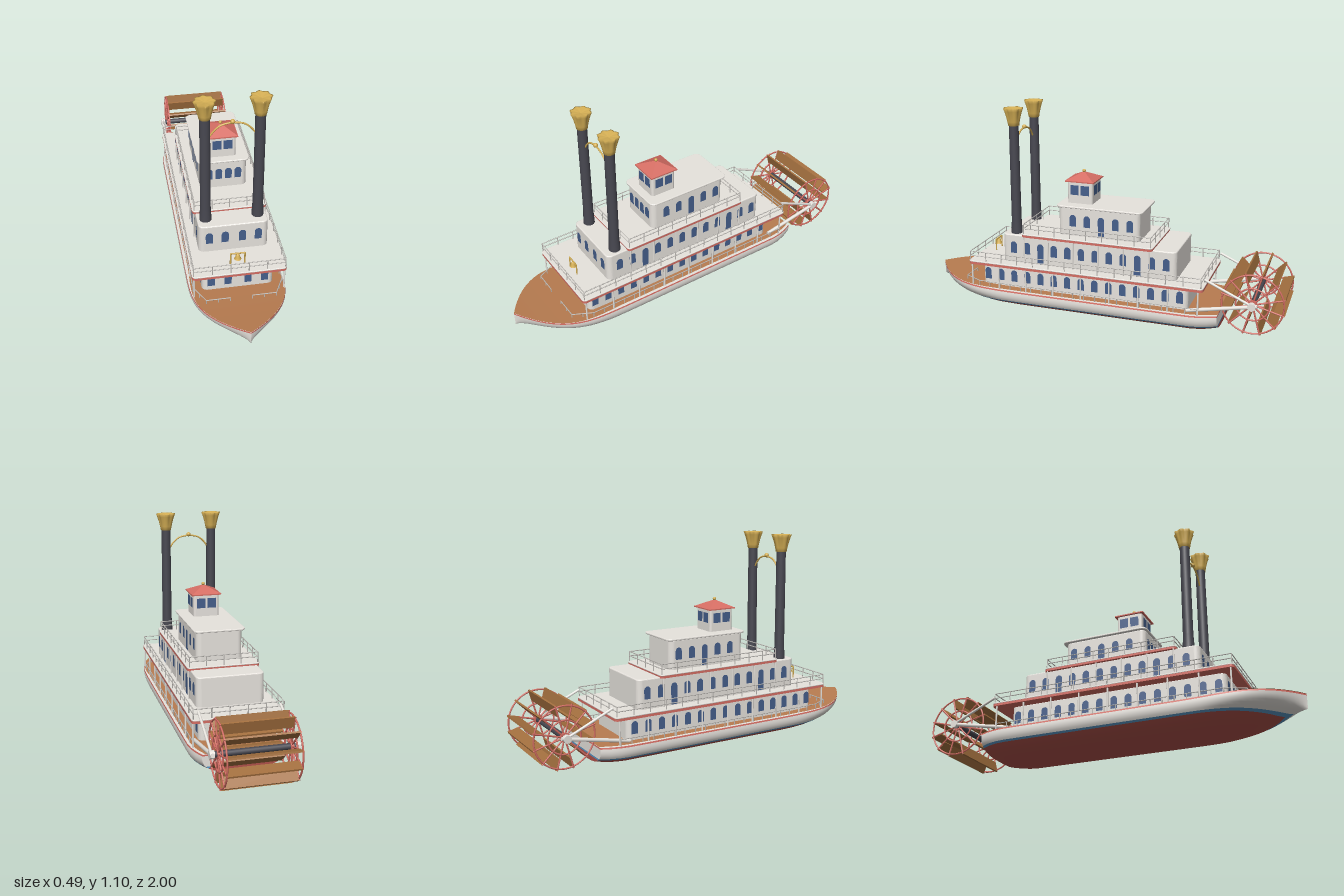
import * as THREE from 'three';

const mat = (name, color, side = THREE.FrontSide) => {
  const m = new THREE.MeshStandardMaterial({ color, side });
  m.name = name;
  return m;
};

export function createModel() {
  const white = mat('white paint', 0xf0ece6, THREE.DoubleSide);
  const red = mat('red trim', 0xd66e64, THREE.DoubleSide);
  const hullRed = mat('hull red', 0xb0524a, THREE.DoubleSide);
  const blue = mat('waterline blue', 0x5a98c6, THREE.DoubleSide);
  const glass = mat('window blue', 0x455f8c);
  const black = mat('chimney black', 0x484851);
  const gold = mat('brass', 0xd6b055, THREE.DoubleSide);
  const wood = mat('deck wood', 0xb87c50, THREE.DoubleSide);
  const darkWood = mat('paddle wood', 0xa4703f);
  const steel = mat('railing grey', 0xc4c1bc);

  const root = new THREE.Group();
  root.name = 'paddleSteamer';
  const group = (name) => {
    const g = new THREE.Group();
    g.name = name;
    root.add(g);
    return g;
  };
  const add = (parent, name, geo, m, x = 0, y = 0, z = 0) => {
    const mesh = new THREE.Mesh(geo, m);
    mesh.name = name;
    mesh.position.set(x, y, z);
    parent.add(mesh);
    return mesh;
  };
  // Round bar between two points
  const bar = (parent, name, m, a, b, r, sides = 6) => {
    const p = new THREE.Vector3(...a), d = new THREE.Vector3(...b).sub(p);
    const mesh = add(parent, name, new THREE.CylinderGeometry(r, r, d.length(), sides), m);
    mesh.position.copy(p).addScaledVector(d, 0.5);
    mesh.quaternion.setFromUnitVectors(new THREE.Vector3(0, 1, 0), d.normalize());
  };
  // Surface through a grid of points
  const grid = (nu, nv, fn, flip) => {
    const pos = [], idx = [];
    for (let i = 0; i <= nu; i++) for (let j = 0; j <= nv; j++) pos.push(...fn(i, j));
    for (let i = 0; i < nu; i++) for (let j = 0; j < nv; j++) {
      const a = i * (nv + 1) + j, b = a + nv + 1;
      if (flip) idx.push(a, a + 1, b, b, a + 1, b + 1);
      else idx.push(a, b, a + 1, b, b + 1, a + 1);
    }
    const g = new THREE.BufferGeometry();
    g.setAttribute('position', new THREE.Float32BufferAttribute(pos, 3));
    g.setIndex(idx);
    g.computeVertexNormals();
    return g;
  };

  // Hull lines: half width, keel height and sheer along z
  const clamp = THREE.MathUtils.clamp;
  const halfWidth = (z) => 0.247 * (1 - clamp((z - 0.55) / 0.45, 0, 1) ** 3)
    - 0.04 * clamp((-0.5 - z) / 0.16, 0, 1) ** 2;
  const keel = (z) => 0.07 * clamp((z - 0.4) / 0.6, 0, 1) ** 2.2 + 0.015 * clamp((-0.52 - z) / 0.14, 0, 1) ** 2;
  const sheer = (z) => 0.114 + 0.031 * clamp((z - 0.4) / 0.6, 0, 1) ** 2;
  const hullX = (z, y) => {
    const t = clamp((y - keel(z)) / (sheer(z) - keel(z)), 0, 1);
    const n = 3 - 1.5 * clamp((z - 0.55) / 0.45, 0, 1);
    return halfWidth(z) * (1 - (1 - t) ** n) ** (1 / n) * (1 - 0.02 * t ** 6);
  };
  // The first station closes the transom
  const stations = [[-0.66, 0], [-0.66, 1]];
  for (let i = 0; i <= 48; i++) stations.push([-0.66 + 1.66 * (1 - (1 - i / 48) ** 1.4), 1]);
  const last = stations.length - 1;
  const hull = group('hull');
  const band = (name, m, low, high, rows, power) => {
    for (const s of [1, -1]) {
      add(hull, name, grid(last, rows, (i, j) => {
        const [z, k] = stations[i];
        const a = Math.max(low(z), keel(z)), b = Math.max(high(z), keel(z));
        const y = a + (b - a) * (j / rows) ** power;
        return [s * k * hullX(z, y), y, z];
      }, s > 0), m);
    }
  };
  const stripe = (z) => sheer(z) - 0.008;
  band('hullBottom', hullRed, keel, () => 0.042, 10, 3);
  band('waterline', blue, () => 0.042, () => 0.051, 1, 1);
  band('hullSide', white, () => 0.051, stripe, 6, 1);
  band('gunwaleStripe', red, stripe, sheer, 1, 1);
  const deck = (name, m, lift, inset) => add(hull, name, grid(last, 2, (i, j) => {
    const z = stations[i][0];
    const margin = inset * (1 - clamp((z - 0.5) / 0.25, 0, 1));
    return [(j - 1) * Math.max(hullX(z, sheer(z)) - margin, 0), sheer(z) + lift, z];
  }), m);
  deck('deckRim', white, 0, 0);
  deck('mainDeck', wood, 0.002, 0.014);

  // Rounded-corner block seen from above, with softened edges
  const block = (parent, name, m, hx, z0, z1, y0, y1, r, b) => {
    const s = new THREE.Shape();
    const c = [[hx - r, -z0 - r, 0], [r - hx, -z0 - r, 1], [r - hx, r - z1, 2], [hx - r, r - z1, 3]];
    for (const [x, y, q] of c) s.absarc(x, y, r, q * Math.PI / 2, (q + 1) * Math.PI / 2, false);
    s.closePath();
    const g = new THREE.ExtrudeGeometry(s, {
      depth: y1 - y0 - 2 * b, curveSegments: 5, bevelEnabled: b > 0,
      bevelSize: b, bevelThickness: b, bevelOffset: -b, bevelSegments: 3,
    });
    g.rotateX(-Math.PI / 2);
    add(parent, name, g, m, 0, y0 + b, 0);
  };
  // Flat pane with an optional arched top
  const pane = (w, h, arched = true) => {
    const s = new THREE.Shape();
    s.moveTo(-w / 2, 0);
    s.lineTo(w / 2, 0);
    if (arched) s.absarc(0, h - w / 2, w / 2, 0, Math.PI, false);
    else s.lineTo(w / 2, h).lineTo(-w / 2, h);
    s.closePath();
    return new THREE.ShapeGeometry(s, 6);
  };
  const sideWindow = (parent, hx, y, z, geo) => {
    for (const s of [1, -1]) add(parent, 'sideWindow', geo, glass, s * (hx + 0.003), y, z).rotation.y = s * Math.PI / 2;
  };

  // Three cabins with arched windows; tall entries are doors
  const cabins = [
    { name: 'lowerCabin', hx: 0.18, z: [-0.5, 0.66], y: [0.108, 0.247], sill: 0.148, h: 0.066, first: 0.625, step: 0.0775, n: 15, doors: [], fx: [0.05, 0.135] },
    { name: 'middleCabin', hx: 0.176, z: [-0.435, 0.535], y: [0.255, 0.418], sill: 0.315, h: 0.066, first: 0.468, step: 0.0775, n: 12, doors: [2, 9], fx: [0.044, 0.124] },
    { name: 'upperCabin', hx: 0.122, z: [-0.22, 0.23], y: [0.425, 0.587], sill: 0.483, h: 0.064, first: 0.145, step: 0.079, n: 5, doors: [2], fx: [0.025, 0.075] },
  ];
  for (const c of cabins) {
    const g = group(c.name);
    block(g, c.name + 'Walls', white, c.hx, c.z[0], c.z[1], c.y[0], c.y[1], 0.028, 0.006);
    const win = pane(0.036, c.h), door = pane(0.036, c.h + c.sill - c.y[0] - 0.012);
    for (let i = 0; i < c.n; i++) {
      const isDoor = c.doors.includes(i);
      sideWindow(g, c.hx, isDoor ? c.y[0] + 0.012 : c.sill, c.first - i * c.step, isDoor ? door : win);
    }
    for (const x of c.fx) for (const s of [1, -1]) add(g, 'frontWindow', win, glass, s * x, c.sill, c.z[1] + 0.003);
  }

  // Deck slabs over red fascia, and the upper roof
  const decks = group('decks');
  block(decks, 'middleDeckTrim', red, 0.236, -0.589, 0.717, 0.243, 0.256, 0.02, 0);
  block(decks, 'middleDeck', white, 0.237, -0.59, 0.718, 0.255, 0.263, 0.02, 0.003);
  block(decks, 'upperDeckTrim', red, 0.19, -0.311, 0.419, 0.413, 0.425, 0.02, 0);
  block(decks, 'upperDeck', white, 0.191, -0.312, 0.42, 0.424, 0.431, 0.02, 0.003);
  block(decks, 'upperRoof', white, 0.136, -0.238, 0.24, 0.585, 0.596, 0.03, 0.004);

  // Railings along a path of [x, z] points
  const railing = (name, path, y0, heights, spacing) => {
    const g = group(name);
    for (let k = 0; k < path.length - 1; k++) {
      const [x0, z0] = path[k], [x1, z1] = path[k + 1];
      const n = Math.max(1, Math.round(Math.hypot(x1 - x0, z1 - z0) / spacing));
      for (const h of heights) bar(g, 'rail', steel, [x0, y0 + h, z0], [x1, y0 + h, z1], 0.0026);
      for (let i = 0; i <= n; i++) {
        const x = x0 + (x1 - x0) * i / n, z = z0 + (z1 - z0) * i / n;
        bar(g, 'railPost', steel, [x, y0, z], [x, y0 + heights[0], z], 0.0028);
      }
    }
  };
  const loop = (x, z0, z1) => [[x, z0], [x, z1], [-x, z1], [-x, z0], [x, z0]];
  railing('middleRailing', loop(0.228, -0.578, 0.708), 0.26, [0.054, 0.03], 0.09);
  railing('upperRailing', loop(0.18, -0.3, 0.408), 0.43, [0.054, 0.03], 0.09);
  for (const s of [1, -1]) {
    railing('mainRailing', [[s * 0.055, 0.76], [s * 0.175, 0.76], [s * 0.226, 0.66], [s * 0.228, -0.56]], 0.11, [0.037], 0.06);
  }
  const columns = group('columns');
  for (const s of [1, -1]) {
    for (let i = 0; i < 9; i++) bar(columns, 'lowerColumn', white, [s * 0.226, 0.11, 0.7 - i * 0.158], [s * 0.226, 0.245, 0.7 - i * 0.158], 0.0045, 8);
    for (let i = 0; i < 6; i++) bar(columns, 'middleColumn', white, [s * 0.184, 0.26, 0.405 - i * 0.14], [s * 0.184, 0.415, 0.405 - i * 0.14], 0.004, 8);
  }

  // Pilot house
  const pilot = group('pilotHouse');
  block(pilot, 'pilotWalls', white, 0.07, 0.055, 0.195, 0.594, 0.716, 0.012, 0);
  const square = pane(0.046, 0.053, false);
  for (const s of [1, -1]) {
    add(pilot, 'pilotFrontWindow', square, glass, s * 0.029, 0.642, 0.198);
    add(pilot, 'pilotBackWindow', square, glass, s * 0.029, 0.642, 0.052).rotation.y = Math.PI;
    sideWindow(pilot, 0.07, 0.642, 0.125 + s * 0.029, square);
  }
  const roof = new THREE.ConeGeometry(0.08 * Math.SQRT2, 0.04, 4).rotateY(Math.PI / 4).toNonIndexed();
  roof.computeVertexNormals();
  add(pilot, 'pilotRoof', roof, red, 0, 0.737, 0.125);
  add(pilot, 'roofEave', new THREE.BoxGeometry(0.16, 0.006, 0.16), red, 0, 0.715, 0.125);
  add(pilot, 'roofFinial', new THREE.SphereGeometry(0.009, 12, 8), gold, 0, 0.761, 0.125);

  // Chimneys with fluted brass crowns
  const lathe = (pts, n = 24) => new THREE.LatheGeometry(pts.map((p) => new THREE.Vector2(...p)), n);
  const crown = lathe([[0.02, 1.01], [0.029, 1.008], [0.033, 1.03], [0.038, 1.055], [0.046, 1.085], [0.051, 1.1], [0.045, 1.099], [0, 1.092]], 48);
  const cp = crown.attributes.position;
  for (let i = 0; i < cp.count; i++) {
    const x = cp.getX(i), z = cp.getZ(i), grow = clamp((cp.getY(i) - 1.01) / 0.09, 0, 1);
    const k = 1 + 0.09 * grow * Math.cos(8 * Math.atan2(x, z));
    cp.setX(i, x * k);
    cp.setZ(i, z * k);
  }
  crown.computeVertexNormals();
  const chimneys = group('chimneys');
  for (const s of [1, -1]) {
    const x = s * 0.132;
    add(chimneys, 'chimneyPipe', lathe([[0.03, 0.415], [0.03, 0.43], [0.0265, 0.5], [0.0255, 1.015]]), black, x, 0, 0.468);
    add(chimneys, 'chimneyCrown', crown, gold, x, 0, 0.468);
  }
  const brace = [[-0.108, 0.908], [-0.088, 0.935], [-0.055, 0.961], [0, 0.971], [0.055, 0.961], [0.088, 0.935], [0.108, 0.908]];
  add(chimneys, 'chimneyBrace', new THREE.TubeGeometry(new THREE.CatmullRomCurve3(
    brace.map(([x, y]) => new THREE.Vector3(x, y, 0.468))), 32, 0.0045, 8), gold);
  add(chimneys, 'braceBall', new THREE.SphereGeometry(0.012, 14, 10), gold, 0, 0.977, 0.468);

  // Bell in its frame
  const bell = group('bell');
  add(bell, 'bellBody', lathe([[0.018, 0.292], [0.013, 0.3], [0.01, 0.314], [0.005, 0.321], [0, 0.322]], 16), gold, 0, 0, 0.645);
  for (const s of [1, -1]) bar(bell, 'bellPost', gold, [s * 0.036, 0.26, 0.645], [s * 0.036, 0.327, 0.645], 0.004);
  bar(bell, 'bellBeam', gold, [-0.036, 0.326, 0.645], [0.036, 0.326, 0.645], 0.004);

  // Stern paddle wheel
  const wheel = group('paddleWheel');
  wheel.position.set(0, 0.19, -0.832);
  bar(wheel, 'axle', black, [-0.21, 0, 0], [0.21, 0, 0], 0.015, 16);
  for (const s of [1, -1]) {
    for (const r of [0.157, 0.085]) add(wheel, 'wheelRim', new THREE.TorusGeometry(r, 0.0045, 6, 48), red, s * 0.175).rotation.y = Math.PI / 2;
    bar(wheel, 'wheelHub', red, [s * 0.168, 0, 0], [s * 0.182, 0, 0], 0.024, 20);
  }
  for (let i = 0; i < 12; i++) {
    const arm = new THREE.Group();
    arm.name = 'paddleArm';
    arm.rotation.x = (i + 0.5) * Math.PI / 6;
    wheel.add(arm);
    for (const s of [1, -1]) bar(arm, 'spoke', red, [s * 0.175, 0.015, 0], [s * 0.175, 0.166, 0], 0.0045);
    add(arm, 'paddleBoard', new THREE.BoxGeometry(0.346, 0.058, 0.009), darkWood, 0, 0.139, 0);
  }

  // Wheel supports and drive rods
  const drive = group('wheelSupports');
  for (const s of [1, -1]) {
    const x = s * 0.205;
    bar(drive, 'supportBeam', white, [x, 0.125, -0.5], [x, 0.195, -0.86], 0.01, 10);
    bar(drive, 'bearing', white, [x - 0.012, 0.19, -0.832], [x + 0.012, 0.19, -0.832], 0.02, 20);
    bar(drive, 'stayRod', white, [x, 0.305, -0.59], [x, 0.2, -0.82], 0.007, 8);
  }
  return root;
}
